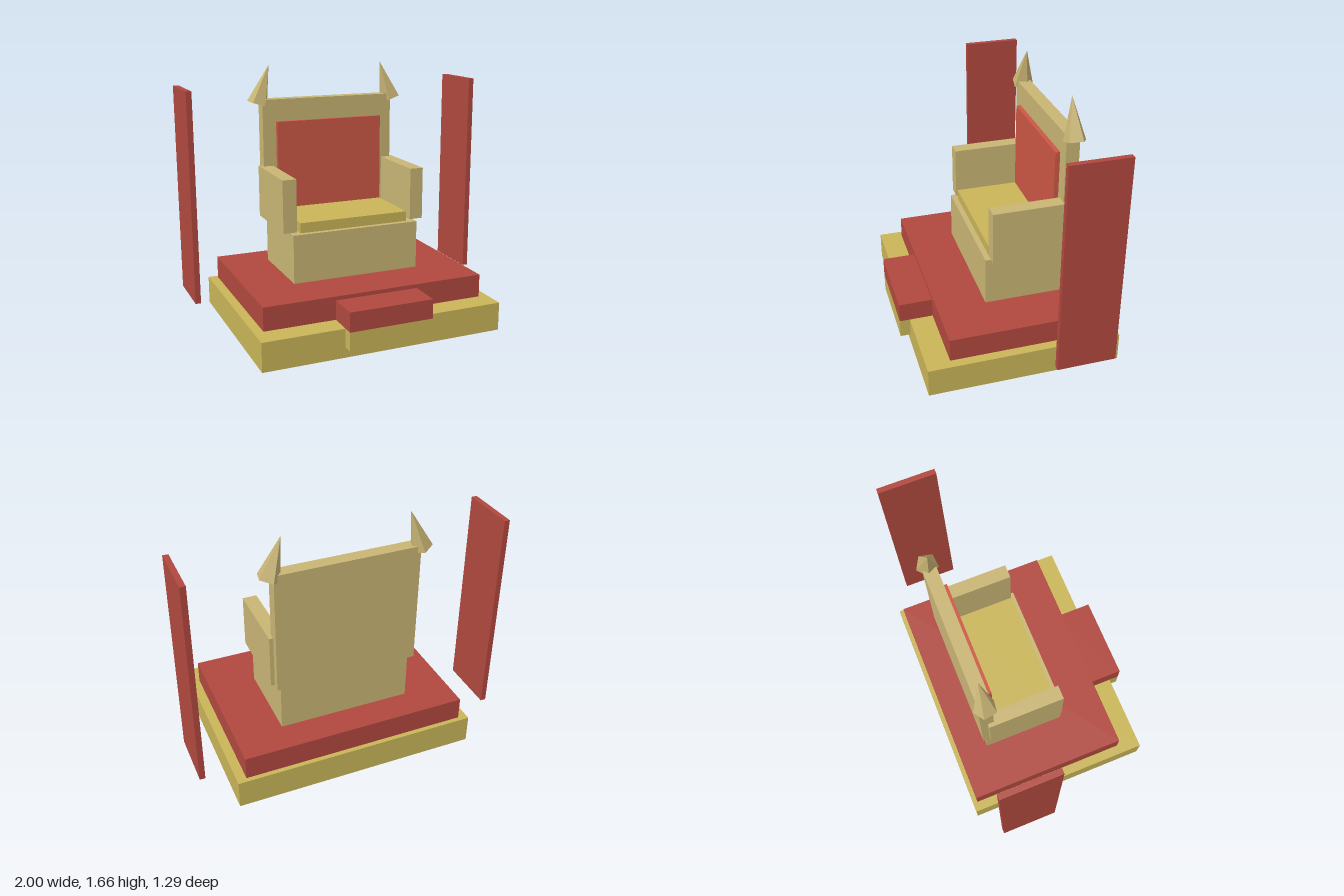
import * as THREE from 'three';

const mat = (name, color, flatShading = false) => {
  const m = new THREE.MeshStandardMaterial({ color, flatShading });
  m.name = name;
  return m;
};

export function createModel() {
  const gold = mat('gold', 0xc8b458);
  const tan = mat('tan', 0xc8b474);
  const darkRed = mat('dark red', 0xb0483e);
  const cushionRed = mat('cushion red', 0xcb5745);
  const horn = tan.clone();
  horn.flatShading = true;

  const throne = new THREE.Group();
  throne.name = 'throne';

  // Box given by its extents on each axis
  const block = (name, material, [x0, x1], [y0, y1], [z0, z1]) => {
    const mesh = new THREE.Mesh(new THREE.BoxGeometry(x1 - x0, y1 - y0, z1 - z0), material);
    mesh.position.set((x0 + x1) / 2, (y0 + y1) / 2, (z0 + z1) / 2);
    mesh.name = name;
    throne.add(mesh);
  };

  // Stepped platform
  block('plinth', gold, [-0.795, 0.795], [0, 0.185], [-0.645, 0.58]);
  block('dais', darkRed, [-0.735, 0.735], [0.185, 0.335], [-0.615, 0.43]);
  block('stepBase', gold, [-0.275, 0.275], [0.065, 0.185], [0.5, 0.645]);
  block('stepTread', darkRed, [-0.275, 0.275], [0.185, 0.31], [0.4, 0.645]);

  // Seat and backrest
  block('seatBase', tan, [-0.43, 0.43], [0.335, 0.65], [-0.42, 0.12]);
  block('seatCushion', gold, [-0.37, 0.37], [0.65, 0.715], [-0.36, 0.085]);
  block('backrest', tan, [-0.46, 0.46], [0.648, 1.44], [-0.445, -0.36]);
  block('backCushion', cushionRed, [-0.37, 0.37], [0.715, 1.295], [-0.36, -0.33]);

  // Mirrored armrests, banner panels and horns
  for (const [side, label] of [[1, 'left'], [-1, 'right']]) {
    const span = (a, b) => (side > 0 ? [a, b] : [-b, -a]);
    block(label + 'Armrest', tan, span(0.395, 0.485), [0.66, 1.0], [-0.4, 0.09]);
    block(label + 'Banner', darkRed, span(0.965, 1.0), [0.19, 1.54], [-0.525, -0.155]);

    // Five-sided horn leaning inward
    const spike = new THREE.Mesh(new THREE.ConeGeometry(0.072, 0.264, 5), horn);
    spike.rotation.set(0, side * (Math.PI + 0.12), side * 0.31, 'ZYX');
    spike.position.set(side * 0.438, 1.535, -0.405);
    spike.name = label + 'Horn';
    throne.add(spike);
  }
  return throne;
}
